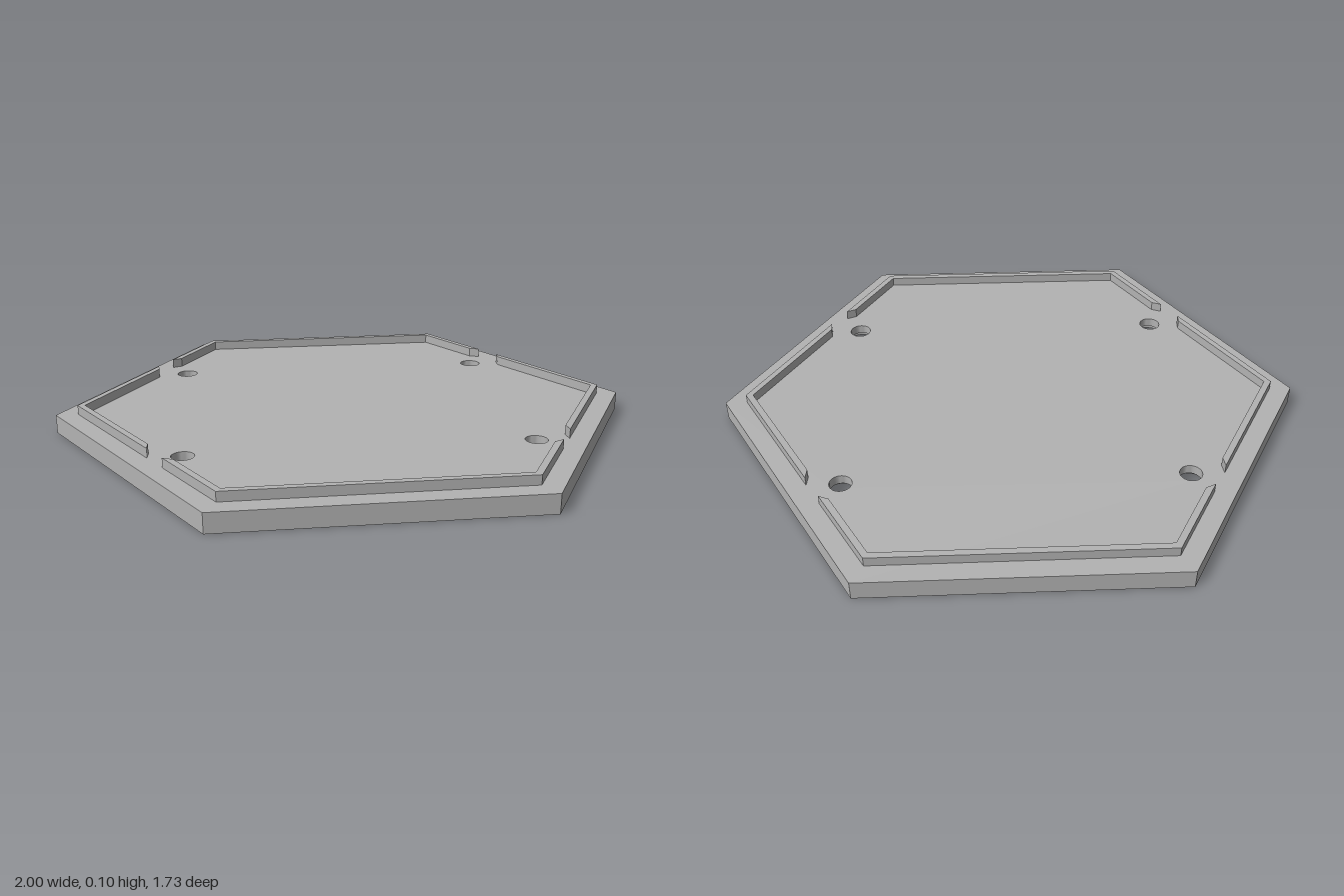
import * as THREE from 'three';
import { toCreasedNormals } from 'three/addons/utils/BufferGeometryUtils.js';

const BASE = 0.064, TOP = 0.096, LEDGE = 0.032;
const HOLE = 0.037, BORE = 0.072, SEG = 32;
const HOLES = [[0.561, 0.44], [-0.561, 0.44], [-0.561, -0.44], [0.561, -0.44]];

function ring(cx, cy, r, n) {
  return Array.from({ length: n }, (_, i) => {
    const a = (i / n) * Math.PI * 2;
    return new THREE.Vector2(cx + r * Math.cos(a), cy + r * Math.sin(a));
  });
}

// Hexagonal face pierced by four round holes
function hexFace(holeRadius) {
  const shape = new THREE.Shape(ring(0, 0, 1, 6));
  for (const [x, z] of HOLES) shape.holes.push(new THREE.Path(ring(x, z, holeRadius, SEG)));
  return new THREE.ShapeGeometry(shape);
}

export function createModel() {
  const grey = new THREE.MeshStandardMaterial({ color: 0xb3b3b3 });
  grey.name = 'grey';
  const model = new THREE.Group();
  model.name = 'hexagonalTray';
  const add = (name, geometry, parent = model) => {
    const mesh = new THREE.Mesh(geometry, grey);
    mesh.name = name;
    parent.add(mesh);
    return mesh;
  };

  // Base plate: top, underside and six edge walls
  const base = new THREE.Group();
  base.name = 'basePlate';
  model.add(base);
  add('baseTop', hexFace(HOLE).rotateX(-Math.PI / 2).translate(0, BASE, 0), base);
  add('baseUnderside', hexFace(BORE).rotateX(Math.PI / 2), base);
  const edge = new THREE.CylinderGeometry(1, 1, BASE, 6, 1, true, Math.PI / 6).translate(0, BASE / 2, 0);
  add('baseEdge', toCreasedNormals(edge, 0.5), base);

  // Screw holes, widened from below
  const profile = [[HOLE, BASE], [HOLE, LEDGE], [BORE, LEDGE], [BORE, 0]].map(p => new THREE.Vector2(...p));
  const holeGeometry = toCreasedNormals(new THREE.LatheGeometry(profile, SEG), 0.5);
  for (const [x, z] of HOLES) add('screwHole', holeGeometry, base).position.set(x, 0, z);

  // Thin raised rim, interrupted beside each hole
  const endRim = [[-0.619, 0.53], [-0.4625, 0.801], [0.4625, 0.801], [0.619, 0.53],
    [0.585, 0.545], [0.45, 0.779], [-0.45, 0.779], [-0.585, 0.545]];
  const sideRim = [[0.669, 0.444], [0.925, 0], [0.669, -0.444],
    [0.666, -0.406], [0.9, 0], [0.666, 0.406]];
  for (const [name, points] of [['endRim', endRim], ['sideRim', sideRim]]) {
    const shape = new THREE.Shape(points.map(p => new THREE.Vector2(...p)));
    const geometry = new THREE.ExtrudeGeometry(shape, { depth: TOP - BASE, bevelEnabled: false })
      .rotateX(-Math.PI / 2).translate(0, BASE, 0);
    for (const turn of [0, Math.PI]) add(name, geometry).rotation.y = turn;
  }
  return model;
}
